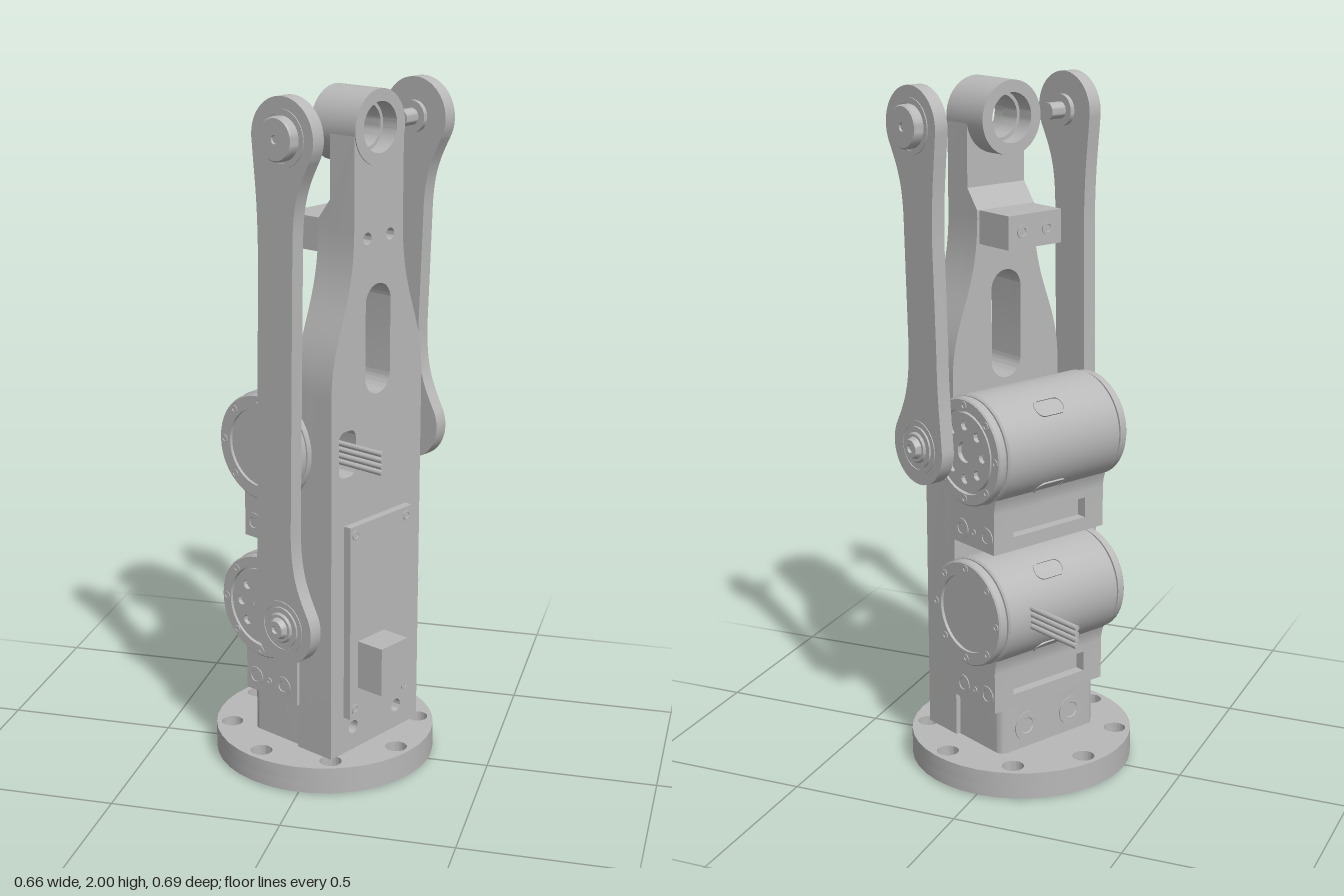
import * as THREE from 'three';
import { toCreasedNormals } from 'three/addons/utils/BufferGeometryUtils.js';

const grey = new THREE.MeshStandardMaterial({ color: 0xb8b8b8 });
grey.name = 'machined grey';

const H = Math.PI / 2;
const V = (x, y) => new THREE.Vector2(x, y);

function add(parent, name, geo, x = 0, y = 0, z = 0) {
  const m = new THREE.Mesh(geo, grey);
  m.name = name;
  m.position.set(x, y, z);
  parent.add(m);
  return m;
}
const box = (w, h, d) => new THREE.BoxGeometry(w, h, d);
const extrude = (shape, depth, curveSegments = 20) => toCreasedNormals(
  new THREE.ExtrudeGeometry(shape, { depth, bevelEnabled: false, curveSegments }), 0.5);
// Turned part; the profile is [radius, height] pairs along +y
const turned = (pts, seg = 40) => toCreasedNormals(
  new THREE.LatheGeometry(pts.map(p => V(p[0], p[1])), seg), 0.5);

function circle(x, y, r, T = THREE.Path) {
  const p = new T();
  p.absarc(x, y, r, 0, Math.PI * 2, false);
  return p;
}
// Rounded rectangle centred on x, y
function rounded(x, y, w, h, r, T = THREE.Path) {
  const p = new T(), a = w / 2 - r, b = h / 2 - r;
  p.absarc(x + a, y + b, r, 0, H, false);
  p.absarc(x - a, y + b, r, H, 2 * H, false);
  p.absarc(x - a, y - b, r, 2 * H, 3 * H, false);
  p.absarc(x + a, y - b, r, 3 * H, 4 * H, false);
  p.closePath();
  return p;
}
const ringPoints = (n, r) => Array.from({ length: n }, (_, i) =>
  [r * Math.cos(i * 2 * Math.PI / n), r * Math.sin(i * 2 * Math.PI / n)]);

// Nearly flush screw head with a socket, pointing along +y
function screwGeo(r) {
  return turned([[r, -0.004], [r, 0.003], [r * 0.55, 0.003], [r * 0.5, 0.0008], [0, 0.0008]], 18);
}

function buildBase(g) {
  const layer = (r, hole, depth, y) => {
    const s = circle(0, 0, r, THREE.Shape);
    ringPoints(8, 0.28).forEach(([a, b]) => s.holes.push(circle(a, b, hole)));
    add(g, 'baseFlange', extrude(s, depth).rotateX(-H), 0, y, 0);
  };
  layer(0.32, 0.019, 0.005, 0);
  layer(0.327, 0.019, 0.035, 0.005);
  layer(0.327, 0.032, 0.043, 0.04);
  const foot = rounded(0, 0, 0.36, 0.24, 0.025, THREE.Shape);
  add(g, 'footBlock', extrude(foot, 0.15).rotateX(-H), 0, 0.08, -0.005);
  for (const s of [-1, 1])
    add(g, 'footBolt', screwGeo(0.044).rotateX(-H), s * 0.085, 0.15, -0.125);
}

// Column outline; the top is either round or cut off flat at yCut
function columnShape(yCut) {
  const s = new THREE.Shape();
  s.moveTo(-0.195, 0.085);
  s.lineTo(0.195, 0.085);
  s.lineTo(0.195, 1.17);
  s.bezierCurveTo(0.195, 1.35, 0.105, 1.4, 0.103, 1.62);
  if (yCut) {
    s.lineTo(0.103, yCut);
    s.lineTo(-0.103, yCut);
  } else {
    s.absarc(0, 1.895, 0.103, 0, Math.PI, false);
    s.holes.push(circle(0, 1.895, 0.07));
  }
  s.lineTo(-0.103, 1.62);
  s.bezierCurveTo(-0.105, 1.4, -0.195, 1.35, -0.195, 1.17);
  s.closePath();
  s.holes.push(rounded(0, 1.308, 0.106, 0.315, 0.052), rounded(-0.128, 1.0, 0.072, 0.135, 0.025));
  for (const k of [-1, 1]) s.holes.push(circle(k * 0.048, 1.597, 0.017), circle(k * 0.097, 0.155, 0.02));
  return s;
}

function buildColumn(g) {
  // Front layer reaches the hub, back layer ends in a ramp below the thin neck
  add(g, 'columnFront', extrude(columnShape(0), 0.087), 0, 0, 0.11);
  add(g, 'columnBack', extrude(columnShape(1.645), 0.043), 0, 0, 0.067);
  const ramp = new THREE.Shape([V(0.067, 1.645), V(0.112, 1.645), V(0.112, 1.705)]);
  add(g, 'neckRamp', extrude(ramp, 0.206).rotateY(-H), 0.103, 0, 0);

  // Hub at the top with a bearing lip in its bore
  add(g, 'topHub', turned([[0.07, 0.04], [0.104, 0.04], [0.104, 0.2], [0.07, 0.2], [0.07, 0.15],
    [0.06, 0.15], [0.06, 0.09], [0.07, 0.09], [0.07, 0.04]], 48).rotateX(H), 0, 1.895, 0);

  // Stop block behind the neck
  add(g, 'stopBlock', box(0.19, 0.095, 0.132), 0, 1.5975, 0.006);
  for (const k of [-1, 1]) add(g, 'stopBolt', screwGeo(0.02).rotateX(-H), k * 0.045, 1.597, -0.06);

  // Cover panel and its connector
  add(g, 'coverPanel', box(0.27, 0.59, 0.026), -0.005, 0.495, 0.208);
  for (const a of [-1, 1]) for (const b of [-1, 1])
    add(g, 'panelScrew', screwGeo(0.015).rotateX(H), -0.005 + a * 0.112, 0.495 + b * 0.268, 0.221);
  add(g, 'connectorBox', box(0.115, 0.145, 0.1), -0.048, 0.363, 0.26);
}

// Saddle bracket profile, with or without the pocket in its back
function saddleShape(pocket) {
  const k = new THREE.Shape();
  k.moveTo(0.11, -0.29);
  k.lineTo(0.11, 0.1);
  k.lineTo(0.09, 0.1);
  k.lineTo(0, 0);
  k.lineTo(-0.13, -0.06);
  k.quadraticCurveTo(-0.09, -0.13, -0.09, -0.17);
  if (pocket) [[-0.09, -0.19], [-0.06, -0.19], [-0.06, -0.25], [-0.09, -0.25]].forEach(p => k.lineTo(...p));
  k.lineTo(-0.09, -0.29);
  k.closePath();
  return k;
}

// Motor lying along x; side is the end that carries the output
function buildMotor(parent, name, y, side) {
  const g = new THREE.Group();
  g.name = name;
  g.position.set(0, y, -0.036);
  parent.add(g);
  add(g, 'motorHousing', turned([[0, -0.207], [0.155, -0.207], [0.16, -0.202], [0.16, 0.202],
    [0.155, 0.207], [0, 0.207]], 64).rotateZ(-H));

  for (const e of [-1, 1]) {
    const depth = e === side ? 0.224 : 0.229;
    const inner = e === side ? 0.122 : 0.115;
    add(g, e === side ? 'outputFlange' : 'endCover', turned([[0.14, 0.2], [0.14, 0.212], [0.155, 0.212],
      [0.155, 0.234], [0.151, 0.238], [inner, 0.238], [inner, depth], [0, depth]], 48).rotateZ(-e * H));
    ringPoints(8, 0.136).forEach(([a, b]) =>
      add(g, 'flangeScrew', screwGeo(0.012).rotateZ(-e * H), e * 0.2375, a, b));
  }
  // Output disc with bolt holes
  const d = circle(0, 0, 0.114, THREE.Shape);
  d.holes.push(circle(0, 0, 0.03));
  ringPoints(8, 0.078).forEach(([a, b]) => d.holes.push(circle(a, b, 0.014)));
  add(g, 'outputDisc', extrude(d, 0.016).rotateY(-H), side > 0 ? 0.237 : -0.221, 0, 0);

  // Rims of the two housing slots
  for (const a of [0.82, -0.82]) {
    const s = rounded(0, 0, 0.104, 0.056, 0.024, THREE.Shape);
    s.holes.push(rounded(0, 0, 0.094, 0.046, 0.02));
    const m = add(g, 'housingSlot', extrude(s, 0.005), 0.02, 0.157 * Math.sin(a), -0.157 * Math.cos(a));
    m.rotation.set(a, Math.PI, 0);
  }

  // Saddle bracket under the housing: solid ends and a pocketed middle
  for (const [x0, x1] of [[-0.205, -0.135], [-0.135, 0.135], [0.135, 0.205]])
    add(g, 'saddleBracket', extrude(saddleShape(x0 + x1 === 0), x1 - x0).rotateY(-H), x1, 0, 0);
  for (const e of [-1, 1]) {
    for (const z of [-0.055, 0.055])
      add(g, 'bracketBolt', screwGeo(0.03).rotateZ(-e * H), e * 0.205, -0.245, z);
    add(g, 'bracketPin', screwGeo(0.01).rotateZ(-e * H), e * 0.205, -0.245, 0);
  }
}

// Link arm on one side, from the top pivot down to the motor output
function buildArm(parent, name, side, yLow) {
  const g = new THREE.Group();
  g.name = name;
  parent.add(g);
  const yTop = 1.89, zt = 0.112, zb = 0.1, r = 0.11;
  const s = new THREE.Shape();
  s.absarc(zt, yTop, r, -0.45, Math.PI + 0.15, false);
  s.bezierCurveTo(zt - 0.1, yTop - 0.12, zt - 0.092, yTop - 0.15, zt - 0.09, yTop - 0.3);
  s.lineTo(zb - 0.09, yLow + 0.3);
  s.bezierCurveTo(zb - 0.092, yLow + 0.15, zb - 0.1, yLow + 0.12, zb - 0.109, yLow + 0.016);
  s.absarc(zb, yLow, r, Math.PI - 0.15, Math.PI * 2 + 0.45, false);
  s.bezierCurveTo(zb + 0.06, yLow + 0.12, zb + 0.038, yLow + 0.16, zb + 0.036, yLow + 0.28);
  s.lineTo(zt + 0.036, yTop - 0.28);
  s.bezierCurveTo(zt + 0.038, yTop - 0.16, zt + 0.06, yTop - 0.12, zt + 0.099, yTop - 0.048);
  add(g, 'armLink', extrude(s, 0.042).rotateY(-H), side > 0 ? 0.296 : -0.254, 0, 0);

  const pivot = (n, pts, y, z) => add(g, n, turned(pts).rotateZ(-side * H), 0, y, z);
  pivot('topPivot', [[0, 0.19], [0.024, 0.19], [0.024, 0.24], [0.045, 0.24], [0.045, 0.27], [0.06, 0.27],
    [0.06, 0.32], [0.056, 0.325], [0.012, 0.325], [0.01, 0.32], [0, 0.32]], yTop, zt);
  pivot('lowerPivot', [[0, 0.2], [0.03, 0.2], [0.03, 0.27], [0.06, 0.27], [0.06, 0.302], [0.045, 0.302],
    [0.04, 0.308], [0.032, 0.308], [0.026, 0.325], [0.012, 0.325], [0.01, 0.318], [0, 0.318]], yLow, zb);
  for (const [y, z] of [[yTop, zt], [yLow, zb]])
    pivot('bearingRing', [[0.066, 0.294], [0.078, 0.294], [0.078, 0.299], [0.066, 0.299], [0.066, 0.294]], y, z);
}

// Stack of thin wires running along z
function buildWires(g, name, x, y, z0, z1) {
  for (let i = 0; i < 4; i++)
    add(g, name, new THREE.CylinderGeometry(0.008, 0.008, z1 - z0, 10).rotateX(H),
      x, y + (i - 1.5) * 0.018, (z0 + z1) / 2);
}

export function createModel() {
  const root = new THREE.Group();
  root.name = 'linkageLeg';
  const g = new THREE.Group();
  g.name = 'assembly';
  g.rotation.y = 1.097;
  g.position.set(-0.004, 0, -0.021);
  root.add(g);

  buildBase(g);
  buildColumn(g);
  buildMotor(g, 'upperMotor', 0.995, 1);
  buildMotor(g, 'lowerMotor', 0.512, -1);
  buildArm(g, 'shortArm', 1, 0.99);
  buildArm(g, 'longArm', -1, 0.507);
  buildWires(g, 'frontWires', -0.122, 0.998, 0.07, 0.32);
  buildWires(g, 'rearWires', 0.122, 0.52, -0.385, -0.15);
  return root;
}
